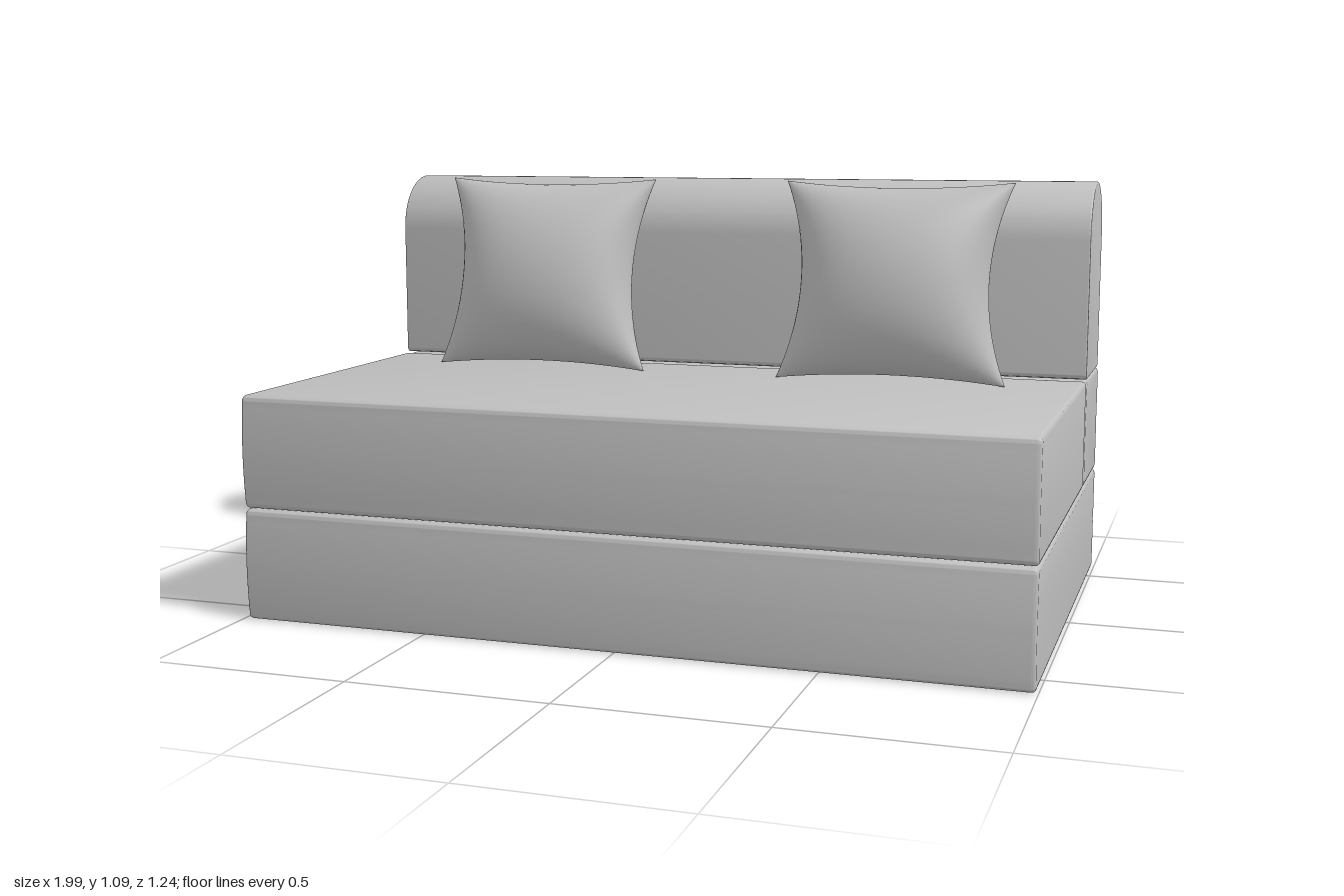
import * as THREE from 'three';
import { mergeGeometries, mergeVertices, toCreasedNormals } from 'three/addons/utils/BufferGeometryUtils.js';

const CENTER_X = 0.004;
const HALF_WIDTH = 0.99;

// Extrudes a (z, y) side profile across the full width, with soft edges.
function acrossWidth(shape, bevel) {
  const depth = 2 * (HALF_WIDTH - bevel);
  const geo = new THREE.ExtrudeGeometry(shape, {
    depth, bevelEnabled: true, bevelSize: bevel, bevelOffset: -bevel,
    bevelThickness: bevel, bevelSegments: 3, curveSegments: 16,
  });
  geo.translate(0, 0, -depth / 2);
  geo.rotateY(-Math.PI / 2);
  geo.translate(CENTER_X, 0, 0);
  return toCreasedNormals(geo, 0.6);
}

// Foam block profile: rounded corners, gently bulging front, optional rear zip groove.
function blockProfile(back, front, bottom, top, groove) {
  const r = 0.018, mid = (bottom + top) / 2, f = front - 0.007;
  const s = new THREE.Shape();
  s.moveTo(back + r, bottom);
  s.lineTo(f - r, bottom);
  s.quadraticCurveTo(f, bottom, f, bottom + r);
  s.quadraticCurveTo(front + 0.007, mid, f, top - r);
  s.quadraticCurveTo(f, top, f - r, top);
  s.lineTo(back + r, top);
  s.quadraticCurveTo(back, top, back, top - r);
  if (groove) {
    s.lineTo(back, mid + 0.006);
    s.lineTo(back + 0.005, mid);
    s.lineTo(back, mid - 0.006);
  }
  s.lineTo(back, bottom + r);
  s.quadraticCurveTo(back, bottom, back + r, bottom);
  return s;
}

// Backrest profile: upright slab with a half-round top.
function backrestProfile() {
  const z0 = -0.597, z1 = -0.296, y0 = 0.577, top = 1.093, r = 0.015;
  const half = (z1 - z0) / 2;
  const s = new THREE.Shape();
  s.moveTo(z0 + r, y0);
  s.lineTo(z1 - r, y0);
  s.quadraticCurveTo(z1, y0, z1, y0 + r);
  s.lineTo(z1, top - half);
  s.absarc((z0 + z1) / 2, top - half, half, 0, Math.PI, false);
  s.lineTo(z0, y0 + r);
  s.quadraticCurveTo(z0, y0, z0 + r, y0);
  return s;
}

// Pillow: two puffed sheets joined along a pinched, four-cornered seam.
function pillowGeometry() {
  const sheets = [1, -1].map((side) => {
    const g = new THREE.PlaneGeometry(2, 2, 28, 28);
    if (side < 0) g.rotateY(Math.PI);
    g.deleteAttribute('uv');
    g.deleteAttribute('normal');
    const p = g.attributes.position;
    for (let i = 0; i < p.count; i++) {
      const u = Math.sin(p.getX(i) * Math.PI / 2);
      const v = Math.sin(p.getY(i) * Math.PI / 2);
      const puff = Math.max(0, (1 - u * u) * (1 - v * v)) ** 0.55;
      p.setXYZ(i, u * (0.25 + 0.055 * v * v), v * (0.247 + 0.018 * u * u), side * 0.135 * puff);
    }
    return g;
  });
  const geo = mergeVertices(mergeGeometries(sheets), 1e-4);
  geo.computeVertexNormals();
  return geo;
}

export function createModel() {
  const model = new THREE.Group();
  model.name = 'sofaBed';
  const fabric = new THREE.MeshStandardMaterial({ color: 0xbfbfbf });
  fabric.name = 'grey fabric';

  const add = (name, geometry) => {
    const mesh = new THREE.Mesh(geometry, fabric);
    mesh.name = name;
    model.add(mesh);
    return mesh;
  };

  // Stacked foam blocks
  add('base', acrossWidth(blockProfile(-0.62, 0.62, 0, 0.285, true), 0.01));
  add('seat', acrossWidth(blockProfile(-0.298, 0.62, 0.287, 0.575, false), 0.01));
  add('rearBlock', acrossWidth(blockProfile(-0.62, -0.303, 0.287, 0.572, true), 0.01));
  add('backrest', acrossWidth(backrestProfile(), 0.004));

  // Small zip pulls on the right-hand end
  const pull = new THREE.BoxGeometry(0.016, 0.02, 0.02);
  [[0.14, -0.45], [0.43, -0.45], [0.43, -0.15], [0.79, -0.44]].forEach(([y, z], i) => {
    add('zipPull' + (i + 1), pull).position.set(-0.991, y, z);
  });

  // Cushions leaning on the backrest
  const pillow = pillowGeometry();
  [['rightCushion', -0.482], ['leftCushion', 0.502]].forEach(([name, x]) => {
    const cushion = add(name, pillow);
    cushion.position.set(x, 0.835, -0.168);
    cushion.rotation.x = -0.21;
  });

  return model;
}
